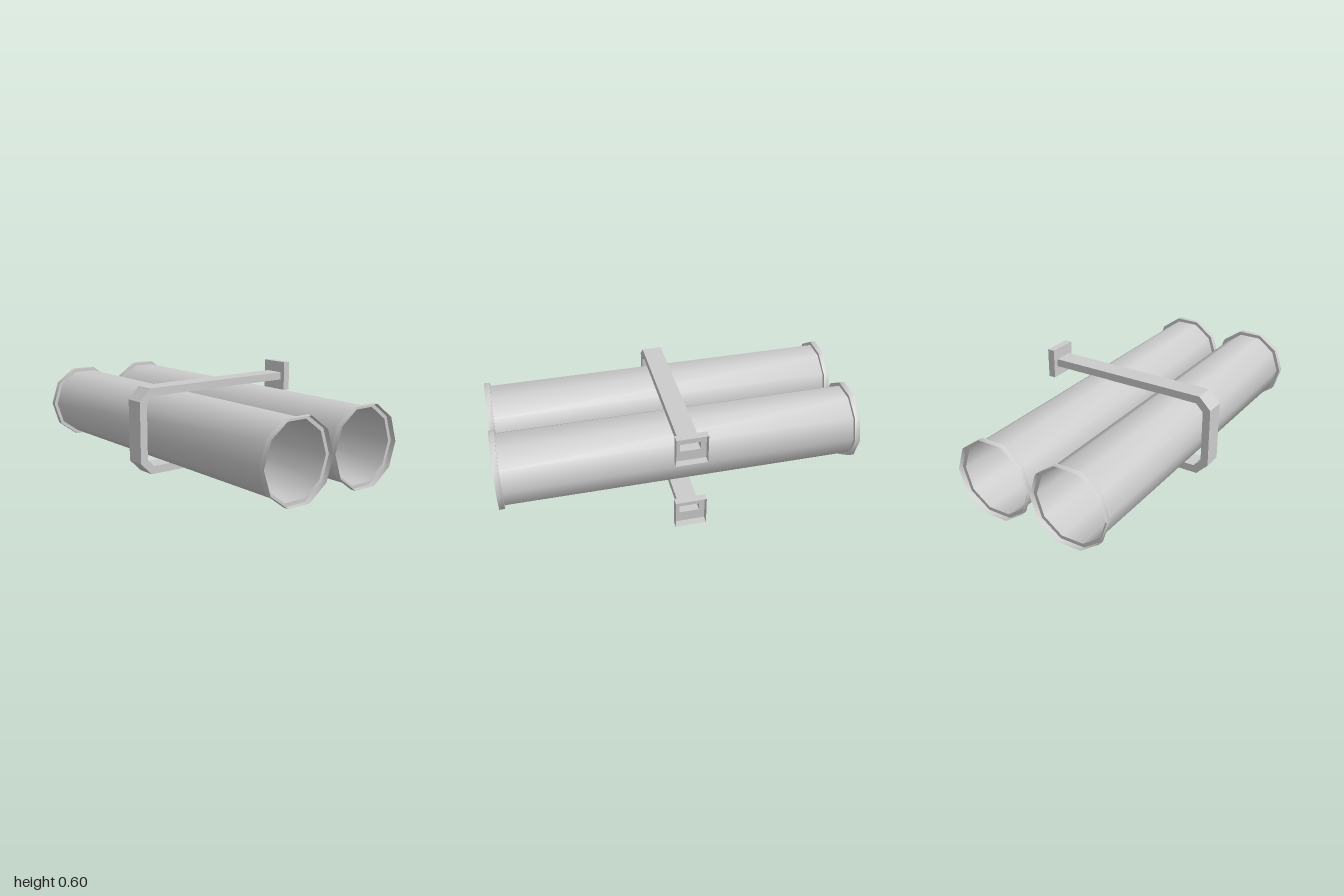
import * as THREE from 'three';
import { toCreasedNormals } from 'three/addons/utils/BufferGeometryUtils.js';

const MID_Y = 0.3;

// Open ten-sided pipe along z with a flared collar at each end
function pipeGeometry() {
  const profile = [[0.22, -1], [0.22, -0.97], [0.2, -0.97], [0.2, 0.97], [0.22, 0.97], [0.22, 1]]
    .map(([r, y]) => new THREE.Vector2(r, y));
  const lathe = new THREE.LatheGeometry(profile, 10, Math.PI / 2);
  lathe.rotateX(Math.PI / 2);
  return toCreasedNormals(lathe, 0.7);
}

// Hollow rectangular shell through cross-sections: outer corner, inner corner, half depth
function shellGeometry(sections) {
  const rings = sections.map(([ox, oy, ix, iy, h]) => [
    [ox, oy, h], [ox, oy, -h], [ix, iy, -h], [ix, iy, h],
  ]);
  const positions = [];
  for (let s = 0; s < rings.length - 1; s++) {
    for (let k = 0; k < 4; k++) {
      const n = (k + 1) % 4;
      const [a, b, c, d] = [rings[s][k], rings[s][n], rings[s + 1][n], rings[s + 1][k]];
      positions.push(...a, ...b, ...c, ...a, ...c, ...d);
    }
  }
  const geometry = new THREE.BufferGeometry();
  geometry.setAttribute('position', new THREE.Float32BufferAttribute(positions, 3));
  geometry.computeVertexNormals();
  return geometry;
}

export function createModel() {
  const model = new THREE.Group();
  model.name = 'twinPipesWithBracket';
  const material = new THREE.MeshStandardMaterial({ color: 0xcccccc, side: THREE.DoubleSide });

  // Two parallel pipes
  const pipe = pipeGeometry();
  for (const [name, x] of [['rightPipe', -0.276], ['leftPipe', 0.177]]) {
    const mesh = new THREE.Mesh(pipe, material);
    mesh.name = name;
    mesh.position.set(x, MID_Y, 0);
    model.add(mesh);
  }

  // U-shaped hollow bracket: open socket, arm and chamfered corner, mirrored below
  const upper = [
    [0.522, 0.598, 0.522, 0.43, 0.085],
    [0.481, 0.598, 0.481, 0.43, 0.085],
    [0.481, 0.535, 0.481, 0.491, 0.055],
    [-0.455, 0.535, -0.437, 0.491, 0.055],
    [-0.522, 0.468, -0.478, 0.45, 0.055],
  ];
  const lower = upper
    .map(([ox, oy, ix, iy, h]) => [ox, 2 * MID_Y - oy, ix, 2 * MID_Y - iy, h])
    .reverse();
  const bracket = new THREE.Mesh(shellGeometry([...upper, ...lower]), material);
  bracket.name = 'bracket';
  bracket.position.y = -0.002;
  model.add(bracket);

  return model;
}
